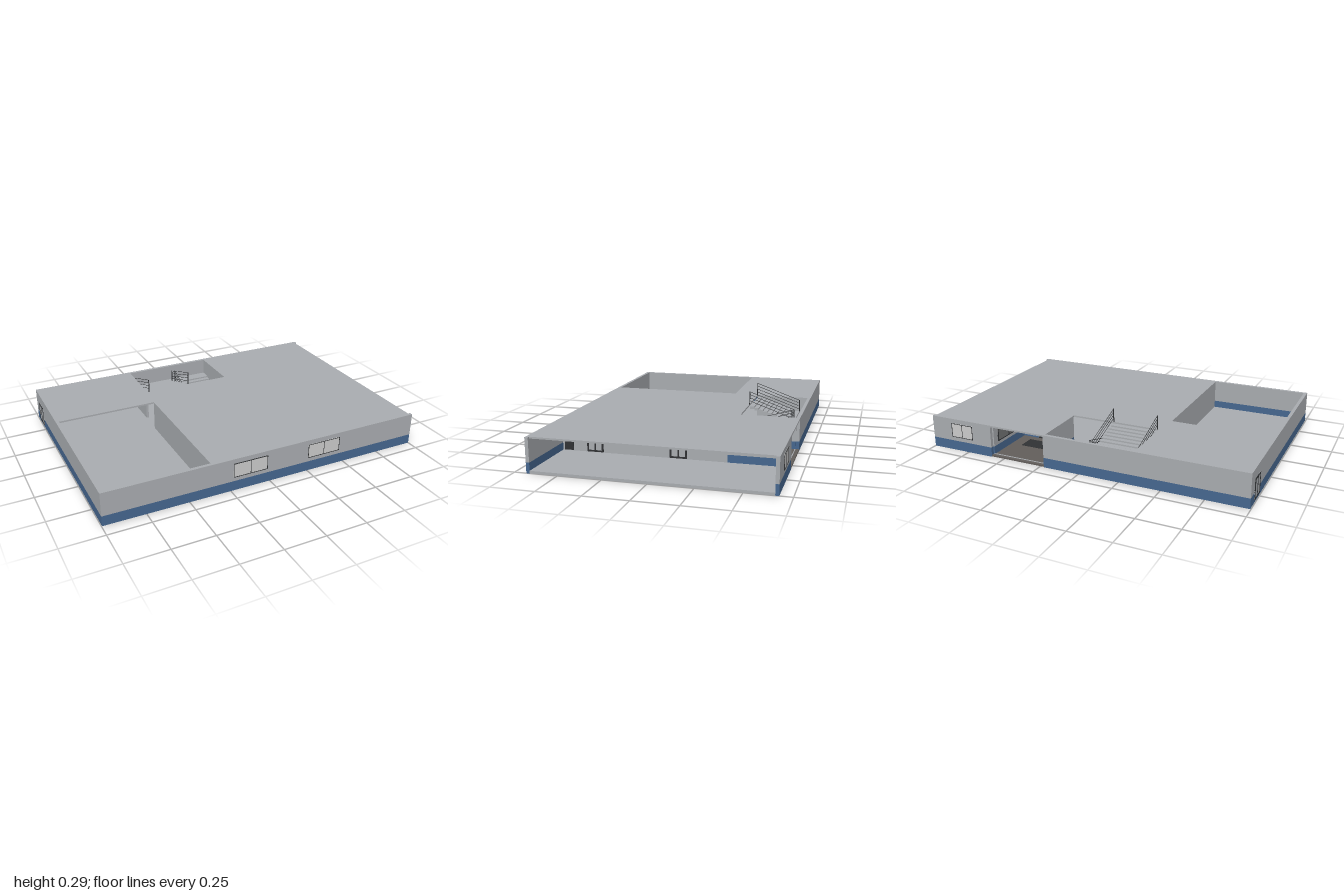
import * as THREE from 'three';

const mat = (name, color) => {
  const m = new THREE.MeshStandardMaterial({ color });
  m.name = name;
  return m;
};

export function createModel() {
  const grey = mat('wall grey', 0xa9acb0);
  const blue = mat('plinth blue', 0x46678f);
  const frame = mat('frame dark', 0x303234);
  const glass = mat('glass light', 0xcccccc);
  const tinted = mat('glass tinted', 0x747576);
  const paving = mat('porch paving', 0x625e5b);

  const root = new THREE.Group();
  root.name = 'building';
  const house = new THREE.Group();
  house.name = 'house';
  // the whole block leans very slightly
  house.rotation.z = -0.0045;
  house.position.y = 0.0045;
  root.add(house);

  // box given by its limits
  const box = (name, m, x0, x1, y0, y1, z0, z1, parent = house) => {
    const mesh = new THREE.Mesh(new THREE.BoxGeometry(x1 - x0, y1 - y0, z1 - z0), m);
    mesh.position.set((x0 + x1) / 2, (y0 + y1) / 2, (z0 + z1) / 2);
    mesh.name = name;
    parent.add(mesh);
    return mesh;
  };

  // horizontal plate from an (x, z) outline
  const plate = (name, outline, top, depth, hole) => {
    const shape = new THREE.Shape(outline.map(p => new THREE.Vector2(...p)));
    if (hole) shape.holes.push(new THREE.Path(hole.map(p => new THREE.Vector2(...p))));
    const geo = new THREE.ExtrudeGeometry(shape, { depth, bevelEnabled: false });
    geo.rotateX(Math.PI / 2);
    const mesh = new THREE.Mesh(geo, grey);
    mesh.position.y = top;
    mesh.name = name;
    house.add(mesh);
  };

  // wall with a painted band along its foot
  const wall = (name, x0, x1, z0, z1, top = 0.2) => {
    box(name + 'Band', blue, x0, x1, 0, 0.06, z0, z1);
    box(name, grey, x0, x1, 0.06, top, z0, z1);
  };

  // framed window or door, centred on a wall; alongZ turns it
  const opening = (name, x, z, w, y0, y1, pane, alongZ, bar, rail = false) => {
    const g = new THREE.Group();
    g.name = name;
    const h = w / 2, t = 0.012, f = 0.014;
    box('pane', pane, -h, h, y0, y1, -t, t, g);
    for (const s of [-h, 0, h]) {
      const b = s === 0 ? bar * 0.8 : bar;
      const c = s - Math.sign(s) * b / 2;
      box('frameUpright', frame, c - b / 2, c + b / 2, y0, y1, -f, f, g);
    }
    for (const y of [y0, y1 - bar]) box('frameRail', frame, -h, h, y, y + bar, -f, f, g);
    if (rail) box('pushBar', frame, -h * 0.8, h * 0.8, 0.074, 0.08, -f - 0.002, f + 0.002, g);
    g.position.set(x, 0, z);
    if (alongZ) g.rotation.y = Math.PI / 2;
    house.add(g);
  };

  // floor slab with a gap for the porch
  plate('floor', [[-0.98, -0.66], [1, -0.66], [1, 0.66], [-0.98, 0.66]], 0.015, 0.015,
    [[0.22, -0.655], [0.58, -0.655], [0.58, -0.33], [0.22, -0.33]]);
  box('porchFloor', paving, 0.22, 0.58, 0.003, 0.012, -0.68, -0.33);
  box('porchMat', frame, 0.3, 0.5, 0.012, 0.014, -0.48, -0.38);

  // roof with the courtyard and stairwell cut out
  plate('roof', [
    [-0.98, -0.66], [-0.35, -0.66], [-0.35, -0.325], [0.21, -0.325], [0.21, -0.66],
    [0.985, -0.66], [0.985, 0.66], [-0.37, 0.66], [-0.37, -0.17], [-0.98, -0.17],
  ], 0.2, 0.01);
  box('porchLintel', grey, 0.22, 0.58, 0.19, 0.2, -0.68, -0.66);

  // outer walls
  wall('frontWall', -1, 1, 0.66, 0.68);
  wall('backWallLong', -1, 0.22, -0.68, -0.66);
  wall('backWallShort', 0.58, 1, -0.68, -0.66);
  wall('sideWall', -1, -0.98, -0.66, 0.66);

  // porch walls
  wall('porchWallStair', 0.212, 0.226, -0.66, -0.33, 0.19);
  wall('porchWallRoom', 0.572, 0.588, -0.66, -0.33, 0.19);
  wall('porchWallBack', 0.226, 0.572, -0.335, -0.321, 0.19);

  // inner walls
  box('mainInnerWall', grey, 0.572, 0.588, 0.015, 0.19, -0.33, 0.66);
  box('courtyardWall', grey, -0.37, -0.355, 0.015, 0.19, -0.17, 0.66);
  box('stairSideWall', grey, -0.365, -0.35, 0.015, 0.19, -0.66, -0.325);

  // windows
  opening('frontWindow', -0.13, 0.67, 0.215, 0.085, 0.172, glass, false, 0.003);
  opening('frontWindow', 0.355, 0.67, 0.215, 0.085, 0.172, glass, false, 0.003);
  opening('backWindow', 0.785, -0.67, 0.15, 0.085, 0.172, glass, false, 0.003);
  opening('porchWindow', 0.58, -0.51, 0.22, 0.082, 0.172, tinted, true, 0.005);

  // doors
  opening('innerDoor', 0.58, 0.455, 0.1, 0.018, 0.142, grey, true, 0.01, false);
  opening('innerDoor', 0.58, -0.047, 0.1, 0.018, 0.142, grey, true, 0.01, true);
  opening('porchDoor', 0.4, -0.328, 0.12, 0.015, 0.145, tinted, false, 0.01, true);
  opening('sideDoor', -0.99, -0.56, 0.1, 0.018, 0.14, grey, true, 0.007, false);
  box('darkDoorway', frame, 0.569, 0.591, 0.018, 0.15, 0.592, 0.648);

  // staircase: lower flight up to a landing, upper flight back to the roof
  const steps = 10, mid = 0.1, zLow = -0.33, zHigh = -0.61;
  const run = (zLow - zHigh) / steps, rise = (mid - 0.01) / steps;
  for (let i = 0; i < steps; i++) {
    const z = zLow - (i + 1) * run, y = 0.015 + (i + 1) * rise;
    box('lowerStep', grey, -0.04, 0.205, y - 0.016, y, z, z + run);
    const z2 = zHigh + i * run, y2 = mid + (i + 1) * rise;
    box('upperStep', grey, -0.345, -0.055, y2 - 0.016, y2, z2, z2 + run);
  }
  box('landing', grey, -0.35, 0.21, mid - 0.012, mid, -0.66, zHigh);

  // railings: posts and sloping bars
  const bar = (name, a, b, r = 0.002) => {
    const p = new THREE.Vector3(...a), q = new THREE.Vector3(...b);
    const mesh = new THREE.Mesh(new THREE.CylinderGeometry(r, r, p.distanceTo(q), 6), frame);
    mesh.name = name;
    mesh.position.copy(p).add(q).multiplyScalar(0.5);
    mesh.quaternion.setFromUnitVectors(new THREE.Vector3(0, 1, 0), q.sub(p).normalize());
    house.add(mesh);
  };
  const railing = (x, zA, yA, zB, yB) => {
    bar('railPost', [x, yA, zA], [x, yA + 0.085, zA], 0.003);
    bar('railPost', [x, yB, zB], [x, yB + 0.085, zB], 0.003);
    for (const h of [0.025, 0.045, 0.065, 0.084]) {
      bar('railBar', [x, yA + h, zA], [x, yB + h, zB], 0.0015);
    }
  };
  for (const x of [-0.34, -0.06]) railing(x, -0.327, 0.2, -0.61, 0.1);
  railing(-0.042, -0.335, 0.02, -0.6, 0.1);

  return root;
}
